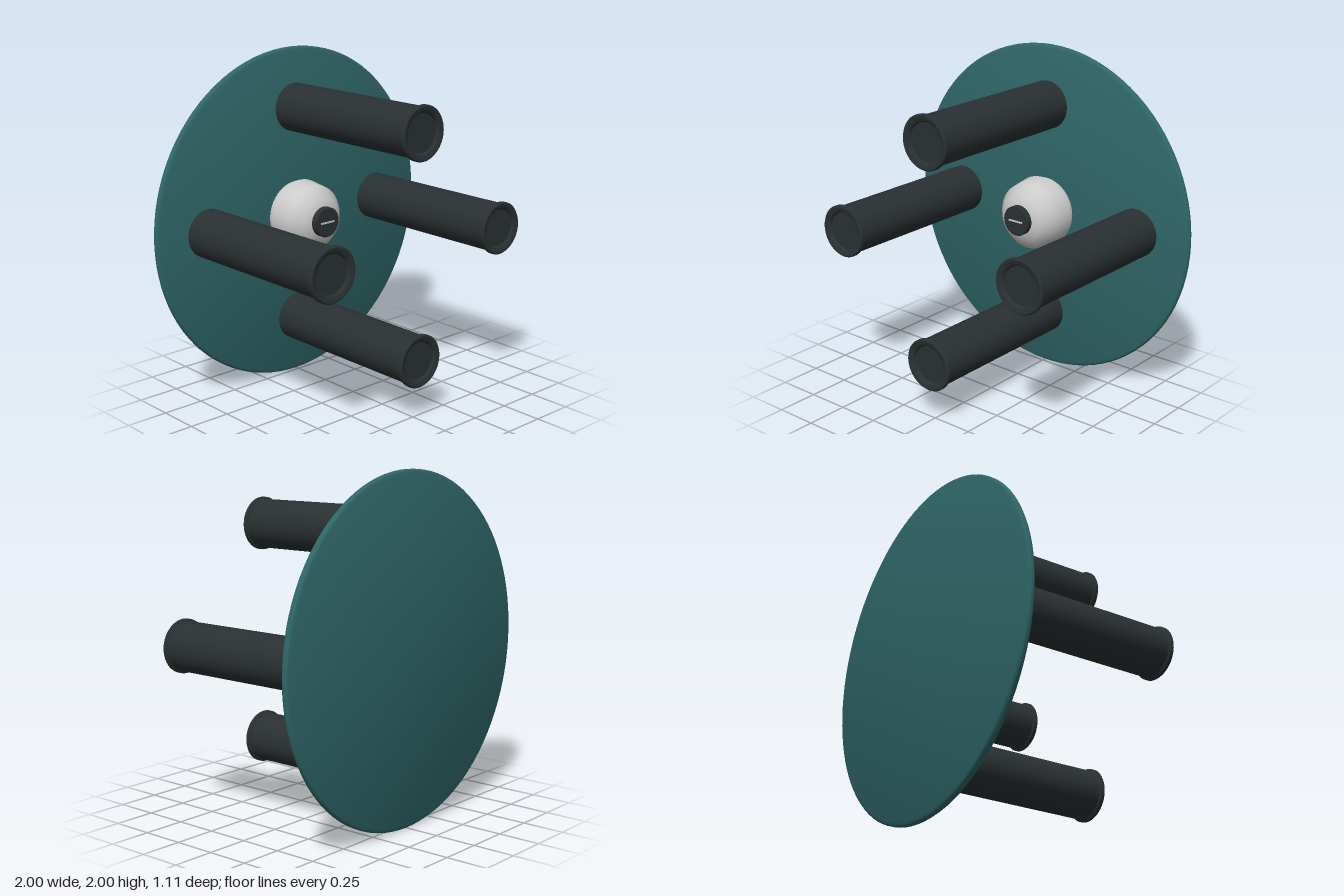
import * as THREE from 'three';
import { toCreasedNormals } from 'three/addons/utils/BufferGeometryUtils.js';

const teal = new THREE.MeshStandardMaterial({ color: 0x2f6668 });
const dark = new THREE.MeshStandardMaterial({ color: 0x2a3032 });
const grey = new THREE.MeshStandardMaterial({ color: 0xcccccc });

// Turned part along z; profile is [radius, z] from back to front
function turned(name, profile, material, segments, crease = 0.5) {
  const points = profile.map(([r, z]) => new THREE.Vector2(r, z));
  let geometry = new THREE.LatheGeometry(points, segments);
  if (crease) geometry = toCreasedNormals(geometry, crease);
  geometry.rotateX(Math.PI / 2);
  const mesh = new THREE.Mesh(geometry, material);
  mesh.name = name;
  return mesh;
}

export function createModel() {
  const model = new THREE.Group();
  model.name = 'pegBoard';
  const hub = new THREE.Group();
  hub.name = 'board';
  hub.position.y = 1;
  model.add(hub);

  // Round back plate with softened rim
  hub.add(turned('backPlate', [
    [0, -0.557], [0.975, -0.557], [0.992, -0.55], [1, -0.54],
    [1, -0.525], [0.992, -0.515], [0.975, -0.508], [0, -0.508],
  ], teal, 96));

  // Four pegs with a flanged, shallowly recessed end
  const pegProfile = [
    [0, -0.52], [0.143, -0.52], [0.143, 0.525], [0.155, 0.532], [0.155, 0.55],
    [0.149, 0.557], [0.135, 0.557], [0.116, 0.547], [0.109, 0.535], [0, 0.535],
  ];
  for (let i = 0; i < 4; i++) {
    const angle = (i * Math.PI) / 2;
    const peg = turned('peg' + (i + 1), pegProfile, dark, 48);
    peg.position.set(0.648 * Math.cos(angle), 0.648 * Math.sin(angle), 0);
    hub.add(peg);
  }

  // Central dome
  hub.add(turned('dome', [
    [0.195, -0.52], [0.215, -0.465], [0.198, -0.335], [0.14, -0.27], [0.07, -0.25], [0, -0.245],
  ], grey, 48, 0));

  // Button with a thin indicator bar
  hub.add(turned('button', [
    [0, -0.29], [0.09, -0.29], [0.09, -0.224], [0.086, -0.22], [0, -0.22],
  ], dark, 40));
  const bar = new THREE.Mesh(new THREE.BoxGeometry(0.1, 0.01, 0.006), grey);
  bar.name = 'indicatorBar';
  bar.position.z = -0.219;
  hub.add(bar);

  return model;
}
